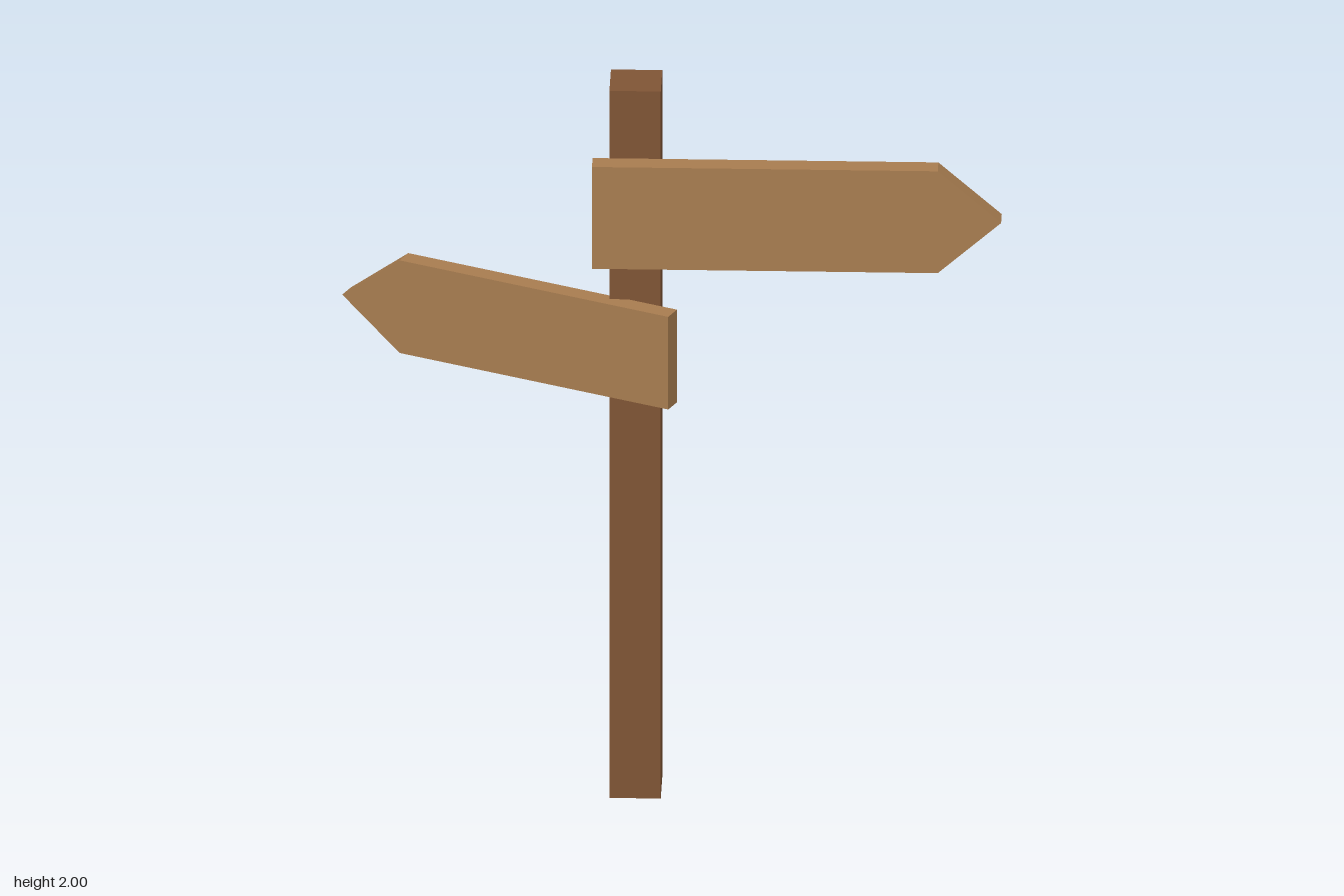
import * as THREE from 'three';

const postWood = new THREE.MeshStandardMaterial({ color: 0x805535 });
postWood.name = 'darkWood';
const signWood = new THREE.MeshStandardMaterial({ color: 0xa87d50 });
signWood.name = 'lightWood';

// Pointed board: blunt end at x = 0, tip at x = dir * length, centred on y and z
function makeBoard(name, dir, length, tip, height, depth) {
  const h = height / 2;
  const points = [[0, -h], [length - tip, -h], [length, 0], [length - tip, h], [0, h]];
  const shape = new THREE.Shape(points.map(([x, y]) => new THREE.Vector2(dir * x, y)));
  const geometry = new THREE.ExtrudeGeometry(shape, { depth, bevelEnabled: false });
  geometry.translate(0, 0, -depth / 2);
  const board = new THREE.Mesh(geometry, signWood);
  board.name = name;
  return board;
}

export function createModel() {
  const group = new THREE.Group();
  group.name = 'signpost';

  // Square post
  const post = new THREE.Mesh(new THREE.BoxGeometry(0.132, 2, 0.132), postWood);
  post.name = 'post';
  post.position.set(-0.091, 1, 0.052);
  group.add(post);

  // Upper board, flat against the front of the post
  const upper = makeBoard('upperSign', 1, 1.052, 0.163, 0.288, 0.055);
  upper.position.set(-0.2, 1.668, 0.151);
  group.add(upper);

  // Lower board, swung backwards
  const lower = makeBoard('lowerSign', -1, 0.938, 0.165, 0.262, 0.05);
  lower.position.set(0.008, 1.28, 0.2);
  lower.rotation.y = -THREE.MathUtils.degToRad(25);
  group.add(lower);

  return group;
}
